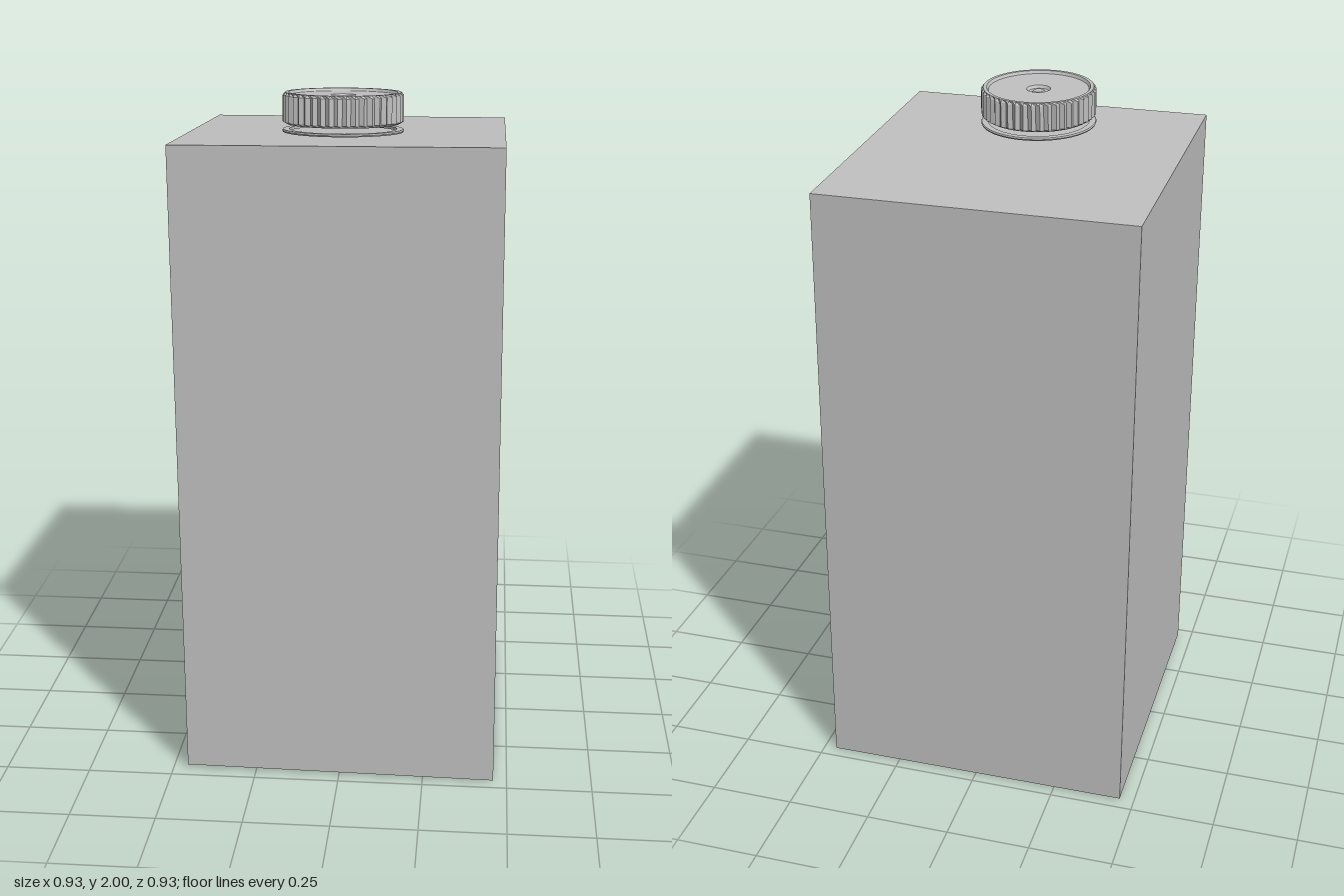
import * as THREE from 'three';

const grey = new THREE.MeshStandardMaterial({ color: 0xc0c0c0, flatShading: true });
grey.name = 'plain grey';

// Slightly skewed carton: every box corner goes to its own place
function carton() {
  const corners = { // keys: right/left (x), top/bottom (y), front/back (z) signs
    '1,1,1': [0.448, 1.879, 0.455], '-1,1,1': [-0.464, 1.875, 0.452],
    '1,1,-1': [0.448, 1.837, -0.458], '-1,1,-1': [-0.464, 1.835, -0.463],
    '1,-1,1': [0.46, 0.002, 0.462], '-1,-1,1': [-0.457, 0.01, 0.457],
    '1,-1,-1': [0.463, 0, -0.463], '-1,-1,-1': [-0.457, 0.003, -0.463],
  };
  const geo = new THREE.BoxGeometry(2, 2, 2);
  const p = geo.attributes.position;
  for (let i = 0; i < p.count; i++) {
    p.setXYZ(i, ...corners[[p.getX(i), p.getY(i), p.getZ(i)].join(',')]);
  }
  geo.computeVertexNormals();
  return geo;
}

function lathe(points, segments) {
  return new THREE.LatheGeometry(points.map(([r, y]) => new THREE.Vector2(r, y)), segments);
}

// Screw cap with knurled wall, recessed top and small central dimple
function knurledCap() {
  const ribs = 44;
  const geo = lathe([
    [0, 0], [0.156, 0], [0.169, 0.007], [0.169, 0.079], [0.162, 0.087], [0.152, 0.087],
    [0.147, 0.079], [0.035, 0.079], [0.029, 0.071], [0.018, 0.071], [0.016, 0.074], [0, 0.074],
  ], ribs * 2);
  const p = geo.attributes.position;
  for (let i = 0; i < p.count; i++) {
    const x = p.getX(i), z = p.getZ(i);
    const column = Math.round((Math.atan2(x, z) / (Math.PI * 2) + 1) * ribs * 2);
    // every other column of the outer wall is pulled in to make a groove
    if (Math.hypot(x, z) > 0.166 && column % 2) {
      p.setX(i, x * 0.95);
      p.setZ(i, z * 0.95);
    }
  }
  geo.computeVertexNormals();
  return geo;
}

export function createModel() {
  const model = new THREE.Group();
  model.name = 'carton';
  const add = (name, geo, parent) => {
    const mesh = new THREE.Mesh(geo, grey);
    mesh.name = name;
    parent.add(mesh);
    return mesh;
  };

  add('body', carton(), model);

  // Closure tilts with the sloping top; the collar floats just below the cap
  const closure = new THREE.Group();
  closure.name = 'closure';
  closure.position.set(-0.006, 1.905, 0.213);
  closure.rotation.x = -0.045;
  model.add(closure);
  add('cap', knurledCap(), closure);
  const collar = lathe([[0.15, 0], [0.168, 0], [0.17, 0.004], [0.168, 0.008], [0.15, 0.008], [0.15, 0]], 64);
  add('collarRing', collar, closure).position.y = -0.022;

  return model;
}
